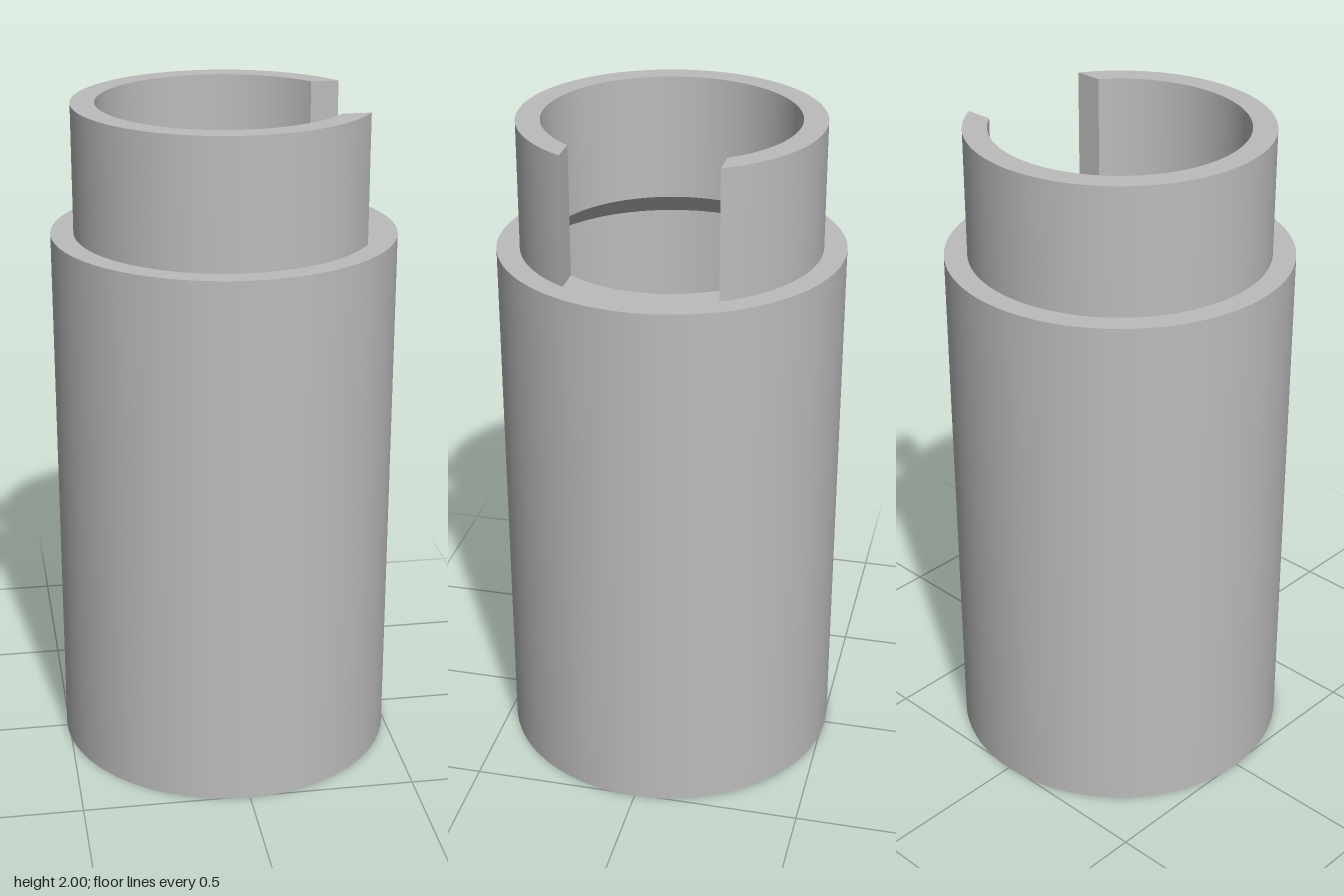
import * as THREE from 'three';
import { mergeGeometries, toCreasedNormals } from 'three/addons/utils/BufferGeometryUtils.js';

const SEGMENTS = 96;
const OUTER = 0.507, NECK = 0.44, BORE = 0.37;
const SHOULDER = 1.62, TOP = 2, SLOT = 0.22;

// Closed ring of revolution with a sharp edge at every profile corner
function ring(profile) {
  return mergeGeometries(profile.map((p, i) => {
    const q = profile[(i + 1) % profile.length];
    return new THREE.LatheGeometry([new THREE.Vector2(...p), new THREE.Vector2(...q)], SEGMENTS);
  }));
}

// C-shaped wall, cut flat at z = +-SLOT on the +x side
function slottedWall() {
  const a = Math.asin(SLOT / NECK), b = Math.asin(SLOT / BORE);
  const shape = new THREE.Shape();
  shape.absarc(0, 0, NECK, a, 2 * Math.PI - a, false);
  shape.absarc(0, 0, BORE, 2 * Math.PI - b, b, true);
  shape.closePath();
  const geometry = new THREE.ExtrudeGeometry(shape, {
    depth: TOP - SHOULDER, bevelEnabled: false, curveSegments: SEGMENTS,
  });
  geometry.rotateX(-Math.PI / 2);
  geometry.translate(0, SHOULDER, 0);
  return toCreasedNormals(geometry, 0.4);
}

export function createModel() {
  const grey = new THREE.MeshStandardMaterial({ color: 0xbcbcbc });
  grey.name = 'grey';
  const group = new THREE.Group();
  group.name = 'slottedSleeve';

  // Wide socket tube, its bore narrowing in a cone below the shoulder
  const body = new THREE.Mesh(ring([
    [NECK, 0], [OUTER, 0], [OUTER, SHOULDER], [BORE, SHOULDER],
    [NECK, SHOULDER - (NECK - BORE)],
  ]), grey);
  body.name = 'body';

  // Narrow neck with a side slot
  const neck = new THREE.Mesh(slottedWall(), grey);
  neck.name = 'slottedNeck';

  group.add(body, neck);
  return group;
}
